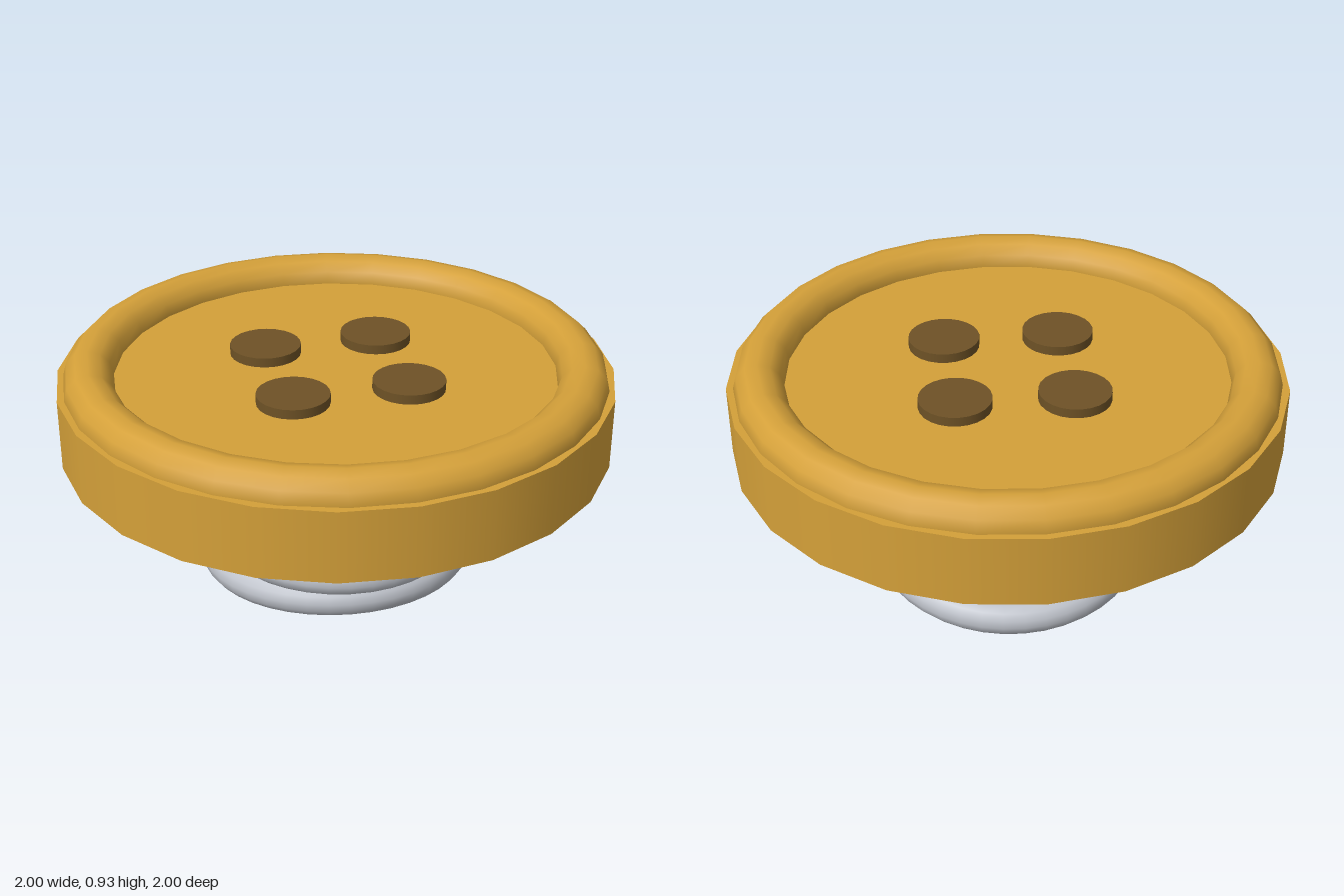
import * as THREE from 'three';

export function createModel() {
  const model = new THREE.Group();
  const gold = new THREE.MeshStandardMaterial({ name: 'gold', color: 0xd4a039 });
  const brown = new THREE.MeshStandardMaterial({ name: 'brown', color: 0x6e5226 });
  const silver = new THREE.MeshStandardMaterial({ name: 'silver', color: 0xc0c4cc });

  const add = (name, geometry, material, x, y, z) => {
    const mesh = new THREE.Mesh(geometry, material);
    mesh.name = name;
    mesh.position.set(x, y, z);
    model.add(mesh);
    return mesh;
  };

  // Button body with a rounded raised rim
  add('buttonDisc', new THREE.CylinderGeometry(1, 1, 0.26, 24), gold, 0, 0.71, 0);
  const rim = new THREE.TorusGeometry(0.885, 0.09, 12, 28).rotateX(Math.PI / 2);
  add('buttonRim', rim, gold, 0, 0.84, 0);

  // Four dark thread-hole discs, standing slightly proud of the face
  const hole = new THREE.CylinderGeometry(0.13, 0.13, 0.06, 24);
  for (const x of [-0.21, 0.21]) {
    for (const z of [-0.21, 0.21]) add('threadHole', hole, brown, x, 0.845, z);
  }

  // Spring: three rings tilted alternately forward and back
  const coil = new THREE.TorusGeometry(0.443, 0.065, 14, 40).rotateX(Math.PI / 2);
  for (let i = 0; i < 3; i++) {
    const ring = add('springCoil', coil, silver, 0, 0.111 + i * 0.17, 0);
    ring.rotation.x = i % 2 ? 0.1 : -0.1;
  }

  return model;
}
